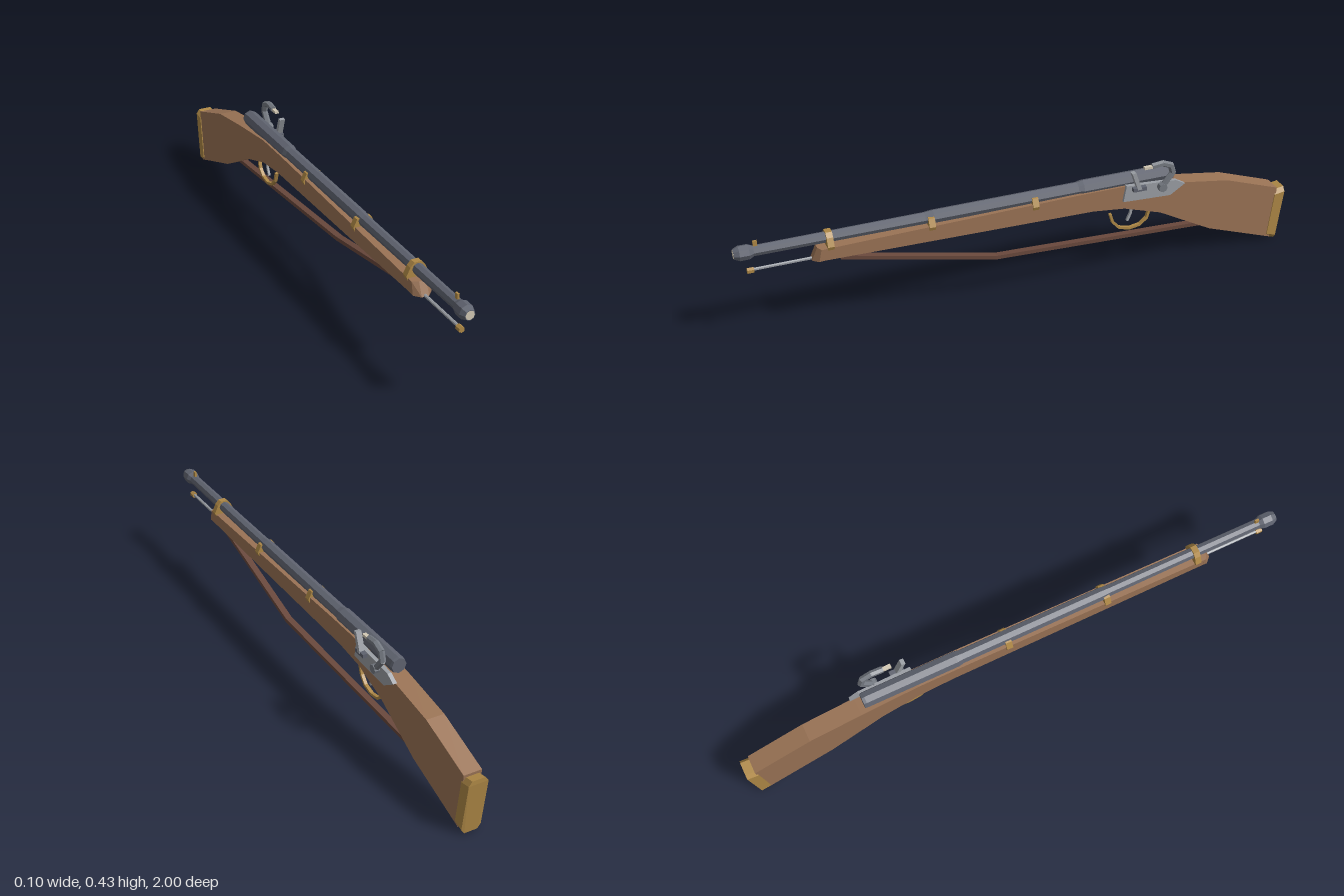
import * as THREE from 'three';
import { ConvexGeometry } from 'three/addons/geometries/ConvexGeometry.js';

const paint = (name, color) => {
  const m = new THREE.MeshStandardMaterial({ color });
  m.name = name;
  return m;
};

const CX = -0.0134; // centre line of barrel and stock
const BY = 0.352;   // height of the bore axis

export function createModel() {
  const root = new THREE.Group();
  root.name = 'musket';

  const wood = paint('walnut wood', 0x9a7355);
  const brass = paint('brass', 0xae8846);
  const iron = paint('dark iron', 0x5f636f);
  const steel = paint('bright steel', 0x9a9ea4);
  const hammerSteel = paint('hammer steel', 0x757a82);
  const leather = paint('sling leather', 0x69483c);
  const pale = paint('pale stone', 0xd2c8b4);

  // Adds a faceted mesh
  const add = (name, geo, mat, parent = root) => {
    const g = geo.index ? geo.toNonIndexed() : geo;
    g.computeVertexNormals();
    const mesh = new THREE.Mesh(g, mat);
    mesh.name = name;
    parent.add(mesh);
    return mesh;
  };

  // Side outline of [z, y] points, extruded from x0 to x1
  const side = (pts, x0, x1) => {
    const shape = new THREE.Shape(pts.map(p => new THREE.Vector2(...p)));
    const g = new THREE.ExtrudeGeometry(shape, { depth: x1 - x0, bevelEnabled: false });
    return g.rotateY(-Math.PI / 2).translate(x1, 0, 0);
  };

  const hull = pts => new ConvexGeometry(pts.map(p => new THREE.Vector3(...p)));

  // Chain of straight bars through [x, y, z] points; make(length) runs along z
  const chain = (name, pts, mat, make) => {
    const group = new THREE.Group();
    group.name = name;
    root.add(group);
    for (let i = 0; i < pts.length - 1; i++) {
      const a = new THREE.Vector3(...pts[i]), b = new THREE.Vector3(...pts[i + 1]);
      const bar = add(name + 'Segment', make(a.distanceTo(b)), mat, group);
      bar.position.copy(a).lerp(b, 0.5);
      bar.lookAt(b);
    }
    return group;
  };
  const round = (r, sides) => len =>
    new THREE.CylinderGeometry(r, r, len + r * 0.5, sides).rotateX(Math.PI / 2);

  // Turned part along z from [radius, z] points
  const turned = (pts, sides) =>
    new THREE.LatheGeometry(pts.map(p => new THREE.Vector2(...p)), sides).rotateX(Math.PI / 2);

  // Stock
  add('stock', side([
    [0.715, 0.283], [0.715, 0.325], [0.48, 0.33], [-0.2, 0.343], [-0.36, 0.343],
    [-0.57, 0.317], [-0.76, 0.288], [-0.968, 0.216], [-0.955, 0.012],
    [-0.7, 0.102], [-0.5, 0.21], [-0.36, 0.255], [-0.24, 0.268],
  ], -0.046, 0.0195), wood);

  // Faceted nose of the stock
  const nose = [];
  for (const s of [-1, 1]) {
    for (const [hw, z, y] of [[0.0327, 0.715, 0.283], [0.0327, 0.715, 0.325],
      [0.0327, 0.73, 0.281], [0.0327, 0.72, 0.325], [0.0125, 0.75, 0.28], [0.0125, 0.73, 0.325]]) {
      nose.push([CX + s * hw, y, z]);
    }
  }
  add('stockNose', hull(nose), wood);

  // Butt plate with chamfered corners
  const plate = [];
  for (const s of [-1, 1]) {
    for (const [z0, z1, y0, y1] of [[-0.942, -0.978, 0.012, 0], [-0.961, -1, 0.205, 0.212]]) {
      const inward = y0 < 0.1 ? 0.016 : -0.016;
      for (const [z, y] of [[z0, y0], [z1, y1]]) {
        plate.push([CX + s * 0.0235, y, z], [CX + s * 0.0355, y + inward, z]);
      }
    }
  }
  add('buttPlate', hull(plate), brass);

  // Barrel with swelled muzzle and thicker breech
  add('barrel', turned([
    [0, -0.55], [0.027, -0.55], [0.0285, -0.54], [0.0285, -0.21], [0.0245, -0.19],
    [0.0235, 0.33], [0.0205, 0.36], [0.0185, 0.935], [0.026, 0.95], [0.026, 0.982],
    [0.0175, 1], [0, 1],
  ], 8), iron).position.set(CX, BY, 0);
  add('bore', new THREE.CylinderGeometry(0.0155, 0.0155, 0.004, 8)
    .rotateX(Math.PI / 2), pale).position.set(CX, BY, 0.9985);
  add('frontSight', new THREE.BoxGeometry(0.007, 0.03, 0.014), brass)
    .position.set(CX, 0.373, 0.927);

  // Barrel bands; only the front one closes over the barrel
  for (const [z, top] of [[0.688, 0.375], [0.342, 0.363], [-0.027, 0.363]]) {
    const half = [[0.034, 0.319], [0.039, 0.332], [0.026, 0.36], [0.013, top]];
    const shape = new THREE.Shape([
      ...half.map(([x, y]) => new THREE.Vector2(x, y)),
      ...half.map(([x, y]) => new THREE.Vector2(-x, y)).reverse(),
    ]);
    add('barrelBand', new THREE.ExtrudeGeometry(shape, { depth: 0.022, bevelEnabled: false }), brass)
      .position.set(CX, 0, z - 0.011);
  }

  // Ramrod
  add('ramrod', round(0.0055, 6)(0.24), steel).position.set(CX, 0.283, 0.83);
  add('ramrodTip', round(0.0105, 6)(0.017), brass).position.set(CX, 0.281, 0.95);

  // Sling
  chain('sling', [[-0.008, 0.272, 0.65], [0.016, 0.166, 0.12], [0, 0.125, -0.67]],
    leather, len => new THREE.BoxGeometry(0.023, 0.014, len + 0.006));

  // Trigger and guard
  chain('triggerGuard', [[-0.32, 0.222], [-0.33, 0.19], [-0.355, 0.163], [-0.395, 0.152],
    [-0.435, 0.159], [-0.462, 0.182], [-0.474, 0.228]].map(([z, y]) => [CX, y, z]),
  brass, len => new THREE.BoxGeometry(0.012, 0.009, len + 0.004));
  chain('trigger', [[CX, 0.26, -0.405], [CX, 0.212, -0.398], [CX, 0.185, -0.386]],
    steel, len => new THREE.BoxGeometry(0.008, 0.009, len + 0.002));

  // Lock plate, pan and striking plate
  add('lockPlate', side([
    [-0.36, 0.348], [-0.35, 0.288], [-0.53, 0.28], [-0.585, 0.316], [-0.55, 0.336],
  ], 0.015, 0.0295), steel);
  add('pan', new THREE.BoxGeometry(0.02, 0.014, 0.05), iron).position.set(0.036, 0.335, -0.405);
  add('strikingPlate', side([
    [-0.372, 0.402], [-0.386, 0.404], [-0.412, 0.335], [-0.396, 0.335],
  ], 0.027, 0.047), steel);

  // Hammer with its stone
  const HX = 0.037;
  add('hammerPivot', new THREE.CylinderGeometry(0.016, 0.016, 0.024, 8)
    .rotateZ(Math.PI / 2), hammerSteel).position.set(HX, 0.325, -0.492);
  chain('hammer', [[-0.492, 0.325], [-0.531, 0.375], [-0.522, 0.405], [-0.49, 0.418],
    [-0.452, 0.414]].map(([z, y]) => [HX, y, z]), hammerSteel, round(0.0115, 6));
  add('hammerStone', new THREE.BoxGeometry(0.014, 0.009, 0.035), pale)
    .position.set(HX, 0.412, -0.437);

  return root;
}
